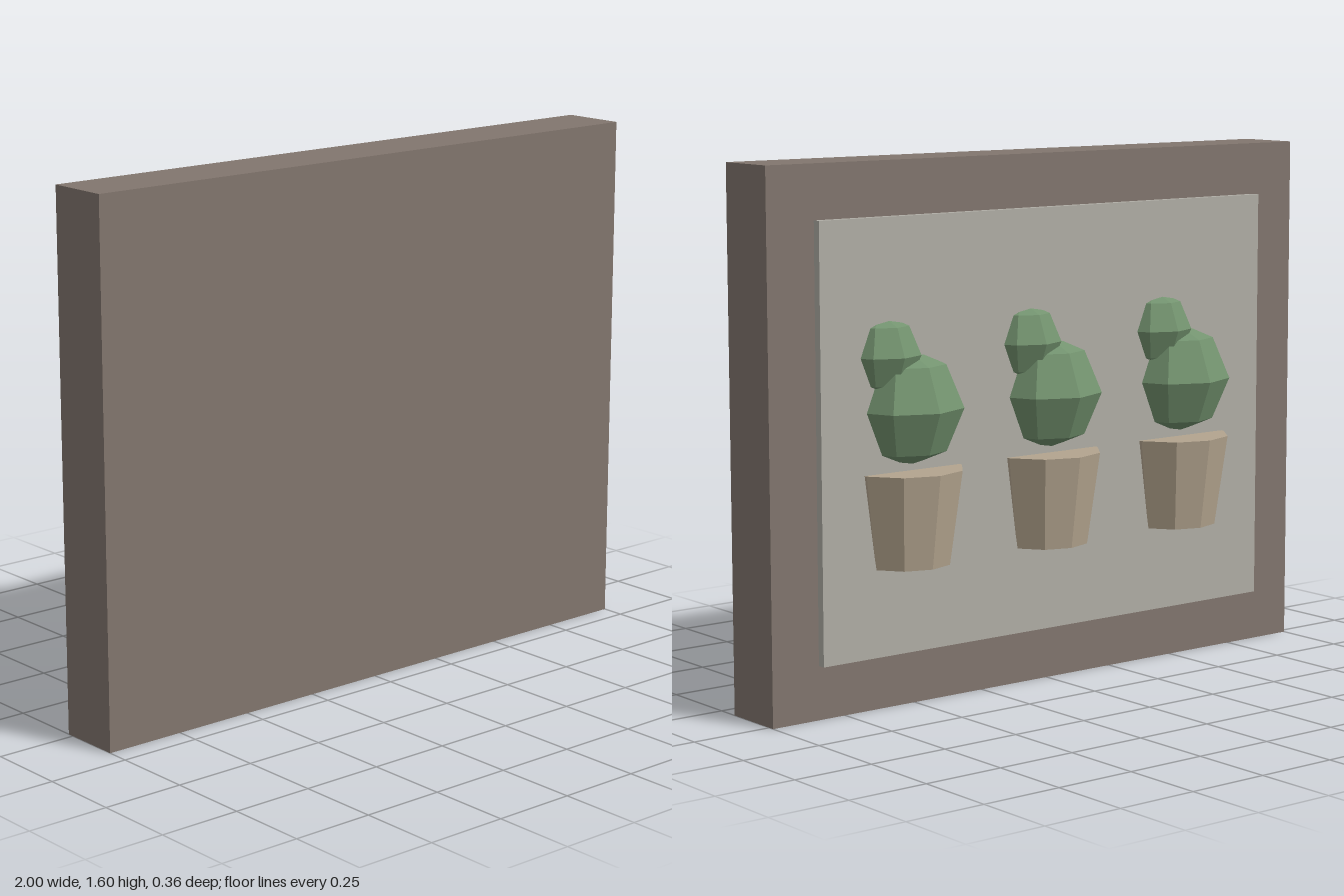
import * as THREE from 'three';

export function createModel() {
  const model = new THREE.Group();
  model.name = 'cactusPicture';

  const material = (color) => new THREE.MeshStandardMaterial({ color, flatShading: true });
  const wood = material(0x82766e);
  const canvas = material(0xb0aea6);
  const clay = material(0xb3a48e);
  const green = material(0x73936f);

  function add(parent, name, geometry, mat, x, y, z) {
    const mesh = new THREE.Mesh(geometry, mat);
    mesh.name = name;
    mesh.position.set(x, y, z);
    parent.add(mesh);
  }

  // Thick frame block with a thin raised panel on its back
  add(model, 'frame', new THREE.BoxGeometry(2, 1.6, 0.2), wood, 0, 0.8, 0.08);
  add(model, 'panel', new THREE.BoxGeometry(1.68, 1.28, 0.025), canvas, 0, 0.8, -0.0325);

  // Three potted cacti, half sunk into the panel
  const potGeometry = new THREE.CylinderGeometry(0.18, 0.14, 0.28, 10);
  const bodyGeometry = new THREE.SphereGeometry(0.18, 8, 4);
  const budGeometry = new THREE.SphereGeometry(0.12, 8, 4);
  for (const x of [-0.52, 0, 0.52]) {
    const plant = new THREE.Group();
    plant.name = 'pottedCactus';
    plant.position.x = x;
    add(plant, 'pot', potGeometry, clay, 0, 0.56, 0);
    add(plant, 'cactusBody', bodyGeometry, green, 0, 0.88, 0);
    add(plant, 'cactusBud', budGeometry, green, 0.08, 1.04, 0);
    model.add(plant);
  }

  return model;
}
